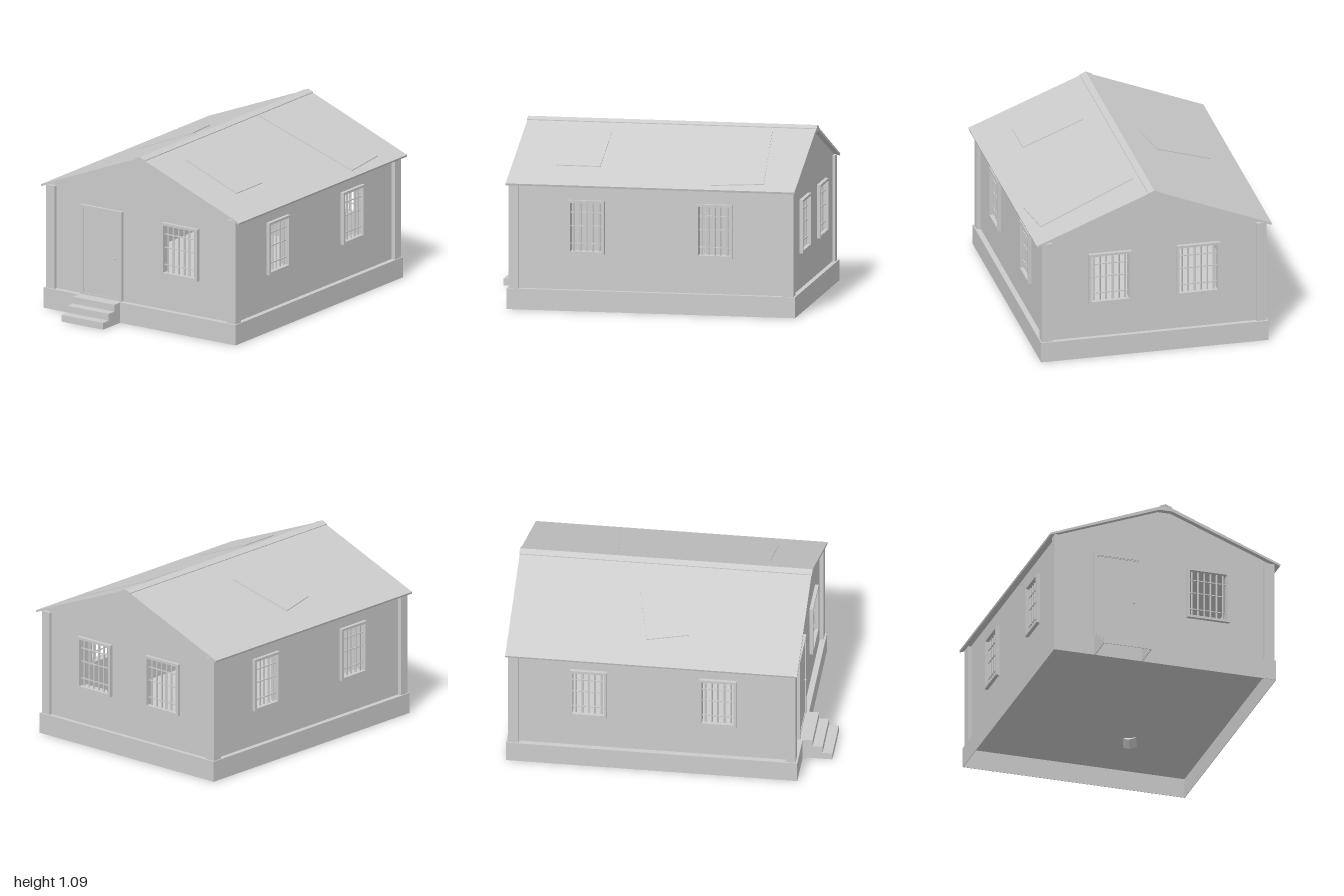
import * as THREE from 'three';

const material = new THREE.MeshStandardMaterial({ color: 0xcccccc, side: THREE.DoubleSide });
const FLOOR = 0.13, FRONT = 0.779, BACK = -0.965, SIDE = 0.686;
const SILL = 0.355, HEAD = 0.69;
const SLOPE = 0.396, RIDGE = 1.085;
const roofY = x => RIDGE - SLOPE * Math.abs(x);

function add(parent, name, geometry, x = 0, y = 0, z = 0) {
  const mesh = new THREE.Mesh(geometry, material);
  mesh.name = name;
  mesh.position.set(x, y, z);
  parent.add(mesh);
  return mesh;
}

// Box given by its extents
function block(parent, name, x0, x1, y0, y1, z0, z1) {
  return add(parent, name, new THREE.BoxGeometry(x1 - x0, y1 - y0, z1 - z0),
    (x0 + x1) / 2, (y0 + y1) / 2, (z0 + z1) / 2);
}

const polygon = pts => new THREE.Shape(pts.map(p => new THREE.Vector2(p[0], p[1])));
const rect = (x0, x1, y0, y1) => polygon([[x0, y0], [x1, y0], [x1, y1], [x0, y1]]);

function slab(shape, depth, holes = []) {
  shape.holes.push(...holes);
  return new THREE.ExtrudeGeometry(shape, { depth, bevelEnabled: false });
}

// Barred window, centred on u, standing in a wall whose outer face is z = 0
function addWindow(parent, u, width, barCount) {
  const g = new THREE.Group();
  g.name = 'window';
  g.position.x = u;
  parent.add(g);
  const w = width / 2, t = 0.016;
  add(g, 'windowFrame', slab(rect(-w, w, SILL, HEAD), 0.06,
    [rect(-w + t, w - t, SILL + t, HEAD - t)]), 0, 0, -0.037);
  const inner = width - 2 * t, step = inner / barCount;
  for (let i = 0; i < barCount; i++) {
    add(g, 'verticalBar', new THREE.CylinderGeometry(0.006, 0.006, HEAD - SILL - 2 * t, 8),
      -inner / 2 + step * (i + 0.5), (SILL + HEAD) / 2, -0.005);
  }
  for (const y of [0.42, 0.53, 0.615]) {
    block(g, 'crossBar', -inner / 2, inner / 2, y - 0.003, y + 0.003, -0.003, 0.004);
  }
}

// Wall with its windows; local +z is the outside
function addWall(parent, name, outline, windows, extraHoles = []) {
  const g = new THREE.Group();
  g.name = name;
  parent.add(g);
  const holes = windows.map(([u, w]) => rect(u - w / 2 + 0.004, u + w / 2 - 0.004, SILL + 0.004, HEAD - 0.004));
  add(g, name + 'Panel', slab(polygon(outline), 0.035, [...holes, ...extraHoles]), 0, 0, -0.035);
  windows.forEach(([u, w, n]) => addWindow(g, u, w, n));
  return g;
}

// Thin sheet lying on the roof slope, corners given in plan (x, z)
function addPatch(parent, corners) {
  const geo = slab(polygon(corners.map(([x, z]) => [x, -z])), 0.005);
  geo.rotateX(-Math.PI / 2);
  const p = geo.attributes.position;
  for (let i = 0; i < p.count; i++) p.setY(i, p.getY(i) + roofY(p.getX(i)));
  geo.computeVertexNormals();
  add(parent, 'roofPatch', geo);
}

export function createModel() {
  const model = new THREE.Group();
  model.name = 'house';
  const body = new THREE.Group();
  body.name = 'body';
  body.position.x = -0.004;
  model.add(body);

  // Plinth: skirt open at the bottom, closed by the floor
  const skirt = slab(rect(-0.72, 0.72, -0.815, 0.995), FLOOR, [rect(-0.717, 0.717, -0.812, 0.992)]);
  skirt.rotateX(-Math.PI / 2);
  add(body, 'plinth', skirt);
  block(body, 'floor', -0.718, 0.718, FLOOR - 0.005, FLOOR, -0.993, 0.813);
  const stone = add(body, 'looseStone', new THREE.BoxGeometry(0.06, 0.06, 0.06), 0.215, 0.1, -0.54);
  stone.rotation.set(0.5, 0.4, 0.3);

  // Corner posts
  for (const s of [-1, 1]) {
    const [x0, x1] = s < 0 ? [-0.712, -0.647] : [0.647, 0.712];
    block(body, 'cornerPost', x0, x1, FLOOR, 0.79, 0.745, 0.803);
    block(body, 'cornerPost', x0, x1, FLOOR, 0.79, -0.983, -0.917);
  }

  // Gable walls
  const top = x => roofY(x) - 0.01;
  const gable = [[-SIDE, FLOOR], [SIDE, FLOOR], [SIDE, top(SIDE)], [0, top(0)], [-SIDE, top(SIDE)]];
  const front = addWall(body, 'frontWall', gable, [[0.287, 0.273, 6]],
    [rect(-0.44, -0.165, FLOOR + 0.005, 0.69)]);
  front.position.z = FRONT;
  const back = addWall(body, 'backWall', gable, [[-0.28, 0.273, 6], [0.28, 0.273, 6]]);
  back.position.z = BACK;
  back.rotation.y = Math.PI;

  // Side walls
  for (const s of [-1, 1]) {
    const ends = [-s * FRONT, -s * BACK].sort((a, b) => a - b);
    const outline = [[ends[0], FLOOR], [ends[1], FLOOR], [ends[1], 0.805], [ends[0], 0.805]];
    const wall = addWall(body, s > 0 ? 'leftWall' : 'rightWall', outline,
      [[-s * 0.319, 0.23, 5], [s * 0.485, 0.23, 5]]);
    wall.position.x = s * SIDE;
    wall.rotation.y = s * Math.PI / 2;
  }

  // Door
  const door = new THREE.Group();
  door.name = 'door';
  door.position.z = FRONT;
  body.add(door);
  const surround = polygon([[-0.457, FLOOR], [-0.437, FLOOR], [-0.437, 0.69], [-0.166, 0.69],
    [-0.166, FLOOR], [-0.146, FLOOR], [-0.146, 0.705], [-0.457, 0.705]]);
  add(door, 'doorFrame', slab(surround, 0.05), 0, 0, -0.03);
  block(door, 'doorLeaf', -0.437, -0.166, 0.142, 0.684, -0.02, 0.012);
  block(door, 'doorHead', -0.437, -0.166, 0.684, 0.69, -0.03, 0.016);
  block(door, 'threshold', -0.437, -0.166, FLOOR, 0.142, -0.03, 0.016);
  add(door, 'doorKnob', new THREE.SphereGeometry(0.007, 12, 8), -0.196, 0.398, 0.02);

  // Front steps, hollow underneath
  const steps = new THREE.Group();
  steps.name = 'steps';
  body.add(steps);
  const rise = FLOOR / 3, run = 0.0617, z0 = 0.815, sx0 = -0.457, sx1 = -0.146, t = 0.004;
  for (let i = 0; i < 3; i++) {
    const edge = 1 - i * run, y = (i + 1) * rise;
    block(steps, 'tread', sx0, sx1, y - t, y, edge - run, edge);
    block(steps, 'riser', sx0, sx1, y - rise, y, edge - t, edge);
  }
  const cheek = polygon([[z0, 0], [1, 0], [1, rise], [1 - run, rise], [1 - run, 2 * rise],
    [1 - 2 * run, 2 * rise], [1 - 2 * run, 3 * rise], [z0, 3 * rise]]);
  const cheekGeo = slab(cheek, t);
  cheekGeo.rotateY(-Math.PI / 2);
  add(steps, 'stepSide', cheekGeo, sx0 + t);
  add(steps, 'stepSide', cheekGeo, sx1);

  // Roof shell, thinning towards the eaves, and ridge cap
  const E = 0.745;
  const roof = polygon([[-E, roofY(E)], [-E + 0.003, roofY(E) - 0.012], [-0.04, 1.047],
    [0.04, 1.047], [E - 0.003, roofY(E) - 0.012], [E, roofY(E)], [0, RIDGE]]);
  add(model, 'roof', slab(roof, 1.812), 0, 0, -0.997);
  const capY = x => 1.09 - SLOPE * x;
  const cap = polygon([[-0.038, capY(0.038)], [-0.038, capY(0.038) - 0.01], [0, 1.08],
    [0.038, capY(0.038) - 0.01], [0.038, capY(0.038)], [0, 1.09]]);
  add(model, 'ridgeCap', slab(cap, 1.818), 0, 0, -1);

  // Sheets laid over the roof
  addPatch(model, [[-0.565, -0.14], [-0.2, -0.23], [-0.15, 0.03], [-0.515, 0.115]]);
  addPatch(model, [[0.045, -0.4], [0.7, -0.465], [0.67, -0.79], [0.07, -0.73]]);
  addPatch(model, [[0.15, 0.263], [0.53, 0.263], [0.53, 0.536], [0.15, 0.536]]);

  return model;
}
